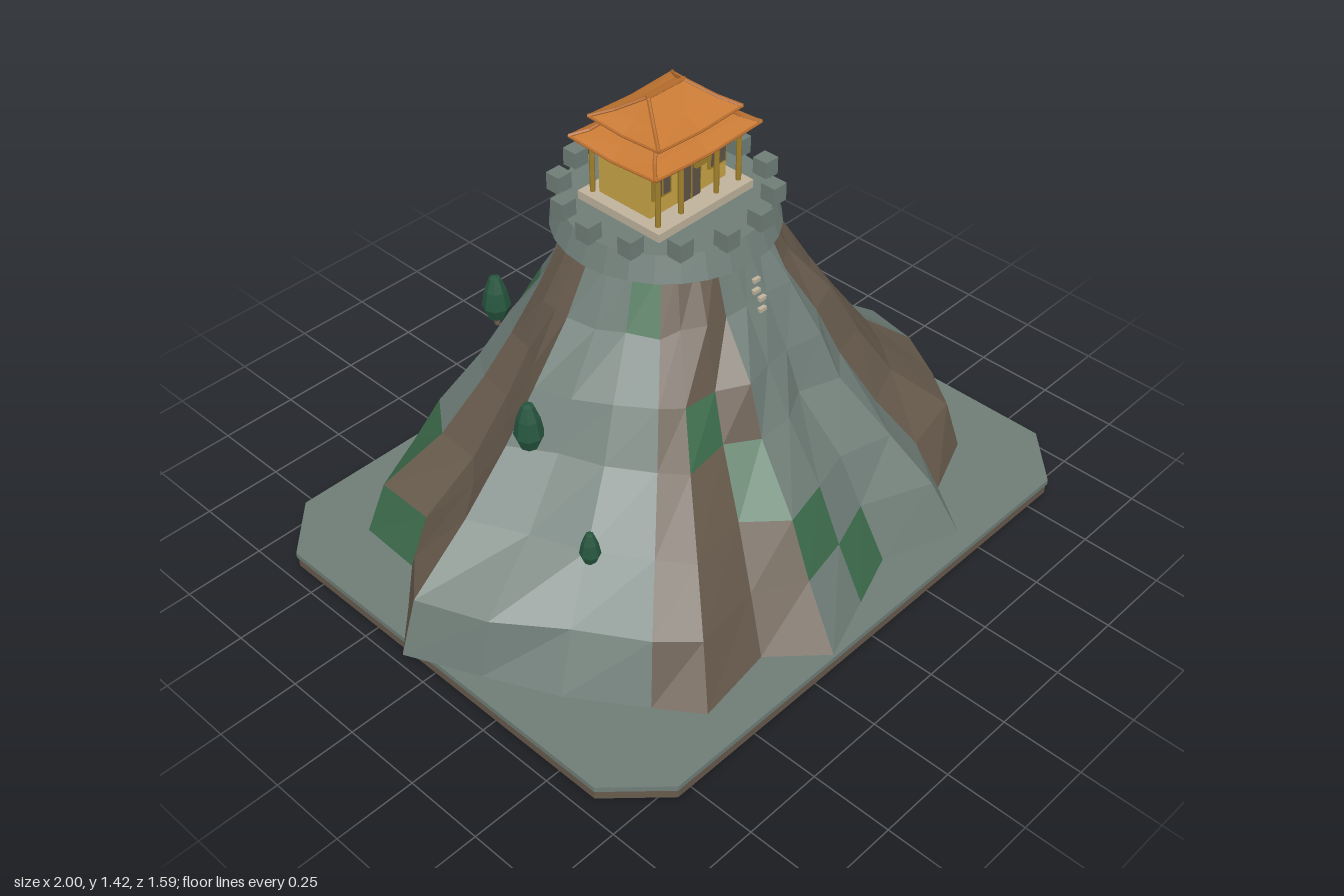
import * as THREE from 'three';

const mat = (name, color, extra = {}) => {
  const m = new THREE.MeshStandardMaterial({ color, flatShading: true, ...extra });
  m.name = name;
  return m;
};

export function createModel() {
  const rock = mat('rock', 0x6f7d77), earth = mat('earth', 0x675a4c), moss = mat('moss', 0x3c6b4b);
  const roofMat = mat('roof', 0xc97a33, { side: THREE.DoubleSide }), ridgeMat = mat('roofRidge', 0xb46b2c);
  const gold = mat('wall', 0xc8a445, { side: THREE.DoubleSide }), wood = mat('timber', 0xa0802c);
  const dark = mat('door', 0x5f5547), pale = mat('paleStone', 0xbfb29c), leaf = mat('leaf', 0x27563f);

  const root = new THREE.Group();
  root.name = 'hilltopPavilion';
  const add = (parent, name, geo, m, x = 0, y = 0, z = 0) => {
    const mesh = new THREE.Mesh(geo, m);
    mesh.name = name;
    mesh.position.set(x, y, z);
    parent.add(mesh);
    return mesh;
  };
  const box = (parent, name, w, h, d, m, x, y, z) => add(parent, name, new THREE.BoxGeometry(w, h, d), m, x, y, z);
  const CX = 0.057, CZ = -0.08;

  // Ground slab with cut corners, in two layers
  const slab = (name, hx, hz, y, h, m) => {
    const c = 0.155;
    const s = new THREE.Shape([[-hx + c, -hz], [hx - c, -hz], [hx, -hz + c], [hx, hz - c],
      [hx - c, hz], [-hx + c, hz], [-hx, hz - c], [-hx, -hz + c]].map(p => new THREE.Vector2(...p)));
    const g = new THREE.ExtrudeGeometry(s, { depth: h, bevelEnabled: false }).rotateX(-Math.PI / 2);
    add(root, name, g, m, 0.02, y, 0.01);
  };
  slab('slabEarth', 0.973, 0.778, 0, 0.033, earth);
  slab('slabTop', 0.977, 0.782, 0.033, 0.017, rock);

  // Cliff: irregular foot outline drawn in towards the summit ring
  const foot = [[0.97, 0.19], [0.89, 0.35], [0.785, 0.49], [0.58, 0.57], [0.465, 0.735], [0.22, 0.645],
    [0.04, 0.71], [-0.17, 0.785], [-0.315, 0.645], [-0.57, 0.68], [-0.66, 0.555], [-0.8, 0.35], [-0.9, 0.14],
    [-1, -0.08], [-0.87, -0.21], [-0.755, -0.33], [-0.745, -0.54], [-0.58, -0.665], [-0.36, -0.71],
    [-0.175, -0.795], [0.03, -0.72], [0.165, -0.68], [0.45, -0.655], [0.6, -0.53], [0.8, -0.49],
    [0.94, -0.17], [0.965, 0]];
  const levels = [[0.05, 1], [0.22, 0.87], [0.38, 0.64], [0.55, 0.43], [0.7, 0.28], [0.86, 0.13], [1.02, 0]];
  let seed = 7;
  const rand = () => ((seed = (seed * 16807) % 2147483647) / 2147483647) - 0.5;
  const rings = levels.map(([y, t], j) => foot.map(([x, z]) => {
    const dx = x - CX, dz = z - CZ, r = Math.hypot(dx, dz), a = Math.atan2(dz, dx);
    const top = 0.275 + 0.025 * Math.cos(2 * a);
    const k = j === 1 ? t + 0.07 * Math.cos(2 * a) + 0.025 * Math.cos(a) : t;
    const wobble = j > 0 && j < 6 ? rand() * 0.045 : 0;
    const rr = top + (r - top) * k + wobble;
    return [CX + dx / r * rr, y + (j > 0 && j < 6 ? rand() * 0.02 : 0), CZ + dz / r * rr];
  }));
  const earthColumns = new Set([0, 1, 2, 7, 8, 9, 13, 14, 15, 20, 21, 22]);
  const mossCells = new Set(['5,0', '6,1', '7,2', '8,3', '10,5', '15,0', '16,1', '17,2', '18,3', '19,5',
    '25,0', '25,5']);
  const faces = { rock: [], earth: [], moss: [] };
  for (let j = 0; j < 6; j++) {
    for (let i = 0; i < foot.length; i++) {
      const n = (i + 1) % foot.length;
      const a = rings[j][n], b = rings[j][i], c = rings[j + 1][i], d = rings[j + 1][n];
      const kind = mossCells.has(`${i},${j}`) ? 'moss' : earthColumns.has(i) ? 'earth' : 'rock';
      faces[kind].push(...a, ...b, ...c, ...a, ...c, ...d);
    }
  }
  const fromTriangles = list => {
    const g = new THREE.BufferGeometry();
    g.setAttribute('position', new THREE.Float32BufferAttribute(list, 3));
    g.computeVertexNormals();
    return g;
  };
  add(root, 'cliffRock', fromTriangles(faces.rock), rock);
  add(root, 'cliffEarth', fromTriangles(faces.earth), earth);
  add(root, 'cliffMoss', fromTriangles(faces.moss), moss);

  // Round summit terrace with battlements
  add(root, 'terrace', new THREE.CylinderGeometry(0.3, 0.328, 0.075, 28), rock, CX, 1.046, CZ);
  for (let i = 0; i < 14; i++) {
    const a = i / 14 * Math.PI * 2;
    box(root, 'merlon', 0.05, 0.055, 0.05, rock, CX + Math.cos(a) * 0.298, 1.107, CZ + Math.sin(a) * 0.298);
  }

  // Small stone steps set into the front cliff
  for (let i = 0; i < 4; i++) {
    box(root, 'cliffStep', 0.025, 0.012, 0.03, pale, 0.1 + (i % 2 ? 0.006 : -0.006), 0.835 + i * 0.025, 0.245 - i * 0.012);
  }

  // Trees clinging to the slopes: x, base y, z, height
  const crown = [[0, 0.08], [0.028, 0.1], [0.043, 0.35], [0.033, 0.7], [0.017, 0.97], [0, 1]];
  for (const [x, y, z, h] of [[-0.365, 0.74, -0.335, 0.15], [-0.53, 0.54, -0.035, 0.16], [-0.587, 0.34, 0.255, 0.11],
    [0.268, 0.72, -0.377, 0.15], [0.605, 0.49, -0.19, 0.13]]) {
    const tree = new THREE.Group();
    tree.name = 'tree';
    tree.position.set(x, y, z);
    const s = h / 0.155;
    add(tree, 'crown', new THREE.LatheGeometry(crown.map(([r, v]) => new THREE.Vector2(r * s, v * h)), 8), leaf);
    add(tree, 'trunk', new THREE.CylinderGeometry(0.007, 0.009, 0.04, 6), earth, 0, 0.005, 0);
    root.add(tree);
  }

  // Pavilion
  const hall = new THREE.Group();
  hall.name = 'pavilion';
  hall.position.set(CX, 1.084, CZ);
  root.add(hall);
  box(hall, 'floor', 0.376, 0.026, 0.312, pale, 0, 0.013, 0);
  box(hall, 'walls', 0.3, 0.18, 0.195, gold, 0, 0.115, -0.012);
  box(hall, 'upperWall', 0.24, 0.06, 0.17, gold, 0, 0.235, 0);
  for (const x of [-0.16, -0.07, 0.07, 0.16]) {
    for (const z of [0.125, -0.125]) {
      add(hall, 'column', new THREE.CylinderGeometry(0.008, 0.008, 0.18, 8), wood, x, 0.115, z);
    }
  }
  for (const z of [0.125, -0.125]) box(hall, 'beam', 0.336, 0.014, 0.014, wood, 0, 0.195, z);
  for (const x of [-0.16, 0.16]) box(hall, 'sideBeam', 0.014, 0.014, 0.25, wood, x, 0.195, 0);

  // Door, paired windows and the board under the eave
  box(hall, 'doorFrame', 0.086, 0.136, 0.008, wood, 0, 0.094, 0.089);
  box(hall, 'door', 0.07, 0.125, 0.008, dark, 0, 0.09, 0.093);
  box(hall, 'doorMullion', 0.005, 0.125, 0.006, wood, 0, 0.09, 0.096);
  for (const x of [-0.11, 0.11]) {
    box(hall, 'windowFrame', 0.07, 0.07, 0.008, wood, x, 0.116, 0.089);
    for (const s of [-1, 1]) box(hall, 'windowPane', 0.024, 0.054, 0.008, dark, x + s * 0.016, 0.116, 0.092);
  }
  box(hall, 'eaveBoard', 0.06, 0.03, 0.01, wood, 0, 0.172, 0.138);

  // Hipped roofs with curved slopes, golden soffits, raised corners and ridge bars
  const bar = (a, b, r) => {
    const p = new THREE.Vector3(...a), q = new THREE.Vector3(...b), d = q.clone().sub(p);
    const m = add(hall, 'ridgeBar', new THREE.CylinderGeometry(r, r, d.length(), 6), ridgeMat);
    m.position.copy(p).add(q).multiplyScalar(0.5);
    m.quaternion.setFromUnitVectors(new THREE.Vector3(0, 1, 0), d.normalize());
  };
  const corners = [[1, 1], [0, 1], [-1, 1], [-1, 0], [-1, -1], [0, -1], [1, -1], [1, 0]];
  const hipRoof = (name, sections) => {
    const loops = sections.map(([hx, hz, y, lift]) =>
      corners.map(([sx, sz]) => [sx * hx, y + (sx && sz ? lift : 0), sz * hz]));
    const soffit = [], slopes = [];
    for (let j = 0; j + 1 < loops.length; j++) {
      for (let i = 0; i < 8; i++) {
        const n = (i + 1) % 8, a = loops[j][n], b = loops[j][i], c = loops[j + 1][i], d = loops[j + 1][n];
        (j ? slopes : soffit).push(...a, ...b, ...c, ...a, ...c, ...d);
      }
    }
    add(hall, name, fromTriangles(slopes), roofMat);
    add(hall, name + 'Soffit', fromTriangles(soffit), gold, 0, -0.003, 0);
    for (let j = 1; j + 1 < loops.length; j++) {
      for (const i of [0, 2, 4, 6]) bar(loops[j][i], loops[j + 1][i], 0.006);
    }
    for (let i = 0; i < 8; i++) bar(loops[1][i], loops[1][(i + 1) % 8], 0.004);
  };
  hipRoof('lowerRoof', [[0.13, 0.09, 0.2, 0], [0.208, 0.163, 0.198, 0.01], [0.168, 0.122, 0.225, 0.002], [0.125, 0.085, 0.262, 0]]);
  hipRoof('upperRoof', [[0.1, 0.07, 0.252, 0], [0.163, 0.132, 0.256, 0.008], [0.12, 0.074, 0.288, 0.002], [0.07, 0.004, 0.333, 0]]);
  bar([-0.073, 0.334, 0], [0.073, 0.334, 0], 0.007);
  return root;
}
